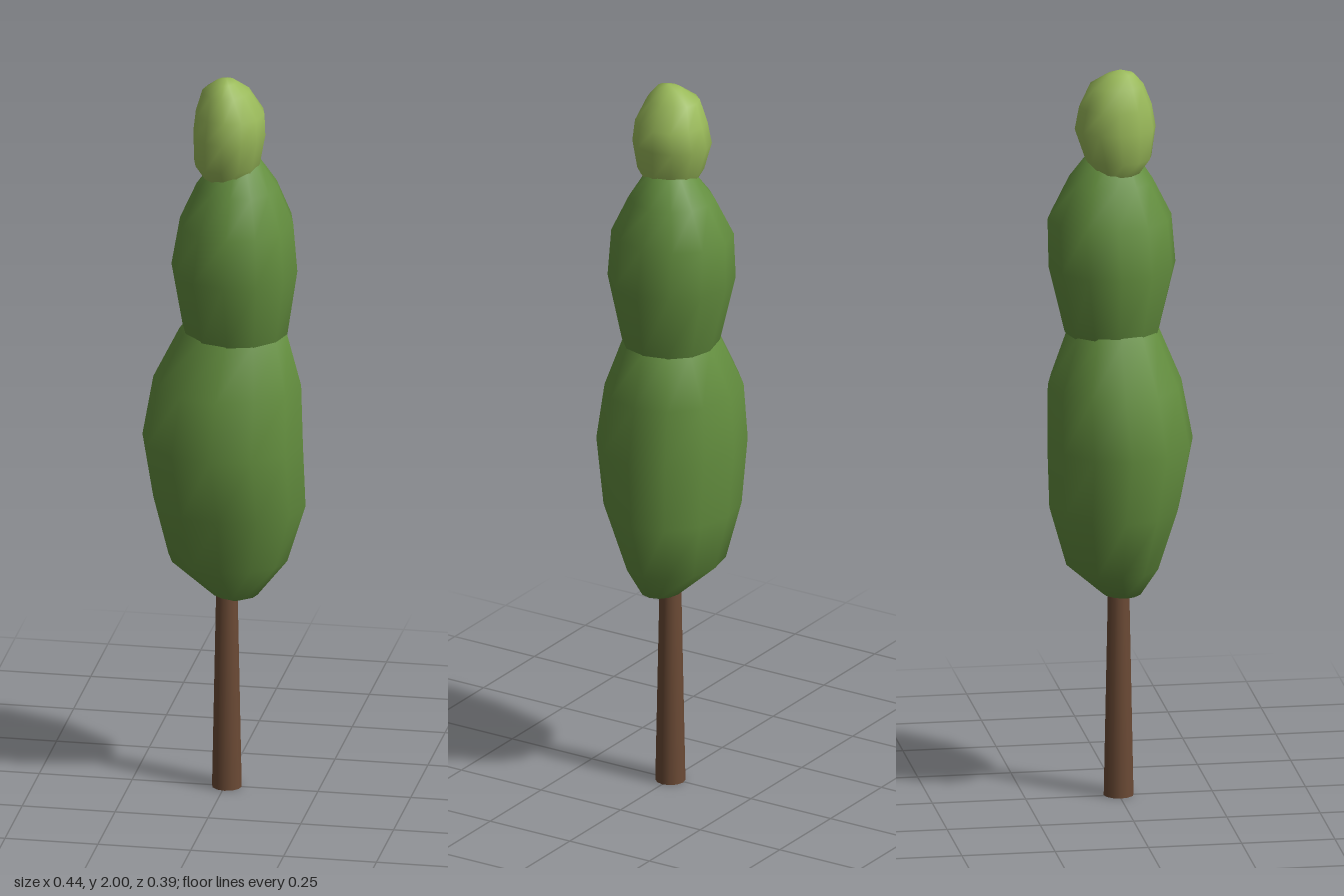
import * as THREE from 'three';

const SIDES = 12;

const material = (name, color) => {
  const m = new THREE.MeshStandardMaterial({ color });
  m.name = name;
  return m;
};

// Smooth leafy clump: rings of [y, xMin, xMax, zMin, zMax] closed by two poles [x, y, z]
function clump(name, mat, bottom, rings, top) {
  const pos = [...bottom];
  for (const [y, x0, x1, z0, z1] of rings) {
    for (let i = 0; i < SIDES; i++) {
      const a = (i / SIDES) * Math.PI * 2;
      pos.push(
        (x0 + x1) / 2 + Math.cos(a) * (x1 - x0) / 2,
        y,
        (z0 + z1) / 2 + Math.sin(a) * (z1 - z0) / 2
      );
    }
  }
  pos.push(...top);

  const index = [];
  const last = pos.length / 3 - 1;
  const at = (r, i) => 1 + r * SIDES + (i % SIDES);
  for (let i = 0; i < SIDES; i++) {
    index.push(0, at(0, i), at(0, i + 1));
    for (let r = 0; r < rings.length - 1; r++) {
      const a = at(r, i), b = at(r, i + 1), c = at(r + 1, i), d = at(r + 1, i + 1);
      index.push(a, c, b, b, c, d);
    }
    index.push(last, at(rings.length - 1, i + 1), at(rings.length - 1, i));
  }

  const geo = new THREE.BufferGeometry();
  geo.setAttribute('position', new THREE.Float32BufferAttribute(pos, 3));
  geo.setIndex(index);
  geo.computeVertexNormals();
  const mesh = new THREE.Mesh(geo, mat);
  mesh.name = name;
  return mesh;
}

export function createModel() {
  const bark = material('bark brown', 0x6b4a35);
  const leaf = material('leaf green', 0x648f3f);
  const tip = material('tip light green', 0x9aba5a);
  const tree = new THREE.Group();
  tree.name = 'tree';

  // Tapered trunk, running up into the foliage
  const trunk = new THREE.Mesh(new THREE.CylinderGeometry(0.026, 0.04, 0.7, 12), bark);
  trunk.position.set(0.005, 0.35, 0);
  trunk.name = 'trunk';
  tree.add(trunk);

  // Three stacked clumps of foliage
  tree.add(clump('lowerFoliage', leaf, [0.03, 0.53, 0.02], [
    [0.55, -0.03, 0.09, -0.04, 0.065],
    [0.64, -0.155, 0.165, -0.14, 0.11],
    [0.80, -0.195, 0.215, -0.185, 0.165],
    [0.98, -0.222, 0.21, -0.193, 0.197],
    [1.14, -0.195, 0.203, -0.19, 0.168],
    [1.28, -0.125, 0.165, -0.135, 0.11],
    [1.37, -0.06, 0.08, -0.07, 0.06]
  ], [0, 1.4, 0]));

  tree.add(clump('middleFoliage', leaf, [0.02, 1.12, -0.01], [
    [1.16, -0.05, 0.08, -0.08, 0.06],
    [1.28, -0.115, 0.165, -0.142, 0.112],
    [1.46, -0.147, 0.192, -0.185, 0.155],
    [1.59, -0.125, 0.18, -0.187, 0.145],
    [1.69, -0.08, 0.14, -0.135, 0.095],
    [1.76, -0.03, 0.095, -0.08, 0.05]
  ], [0.03, 1.79, -0.01]));

  tree.add(clump('topFoliage', tip, [0.01, 1.67, -0.01], [
    [1.70, -0.045, 0.055, -0.055, 0.045],
    [1.76, -0.083, 0.093, -0.09, 0.088],
    [1.84, -0.087, 0.107, -0.117, 0.1],
    [1.90, -0.08, 0.105, -0.105, 0.09],
    [1.96, -0.062, 0.065, -0.08, 0.066],
    [1.99, -0.025, 0.03, -0.03, 0.04]
  ], [0.005, 2, 0.005]));

  return tree;
}
